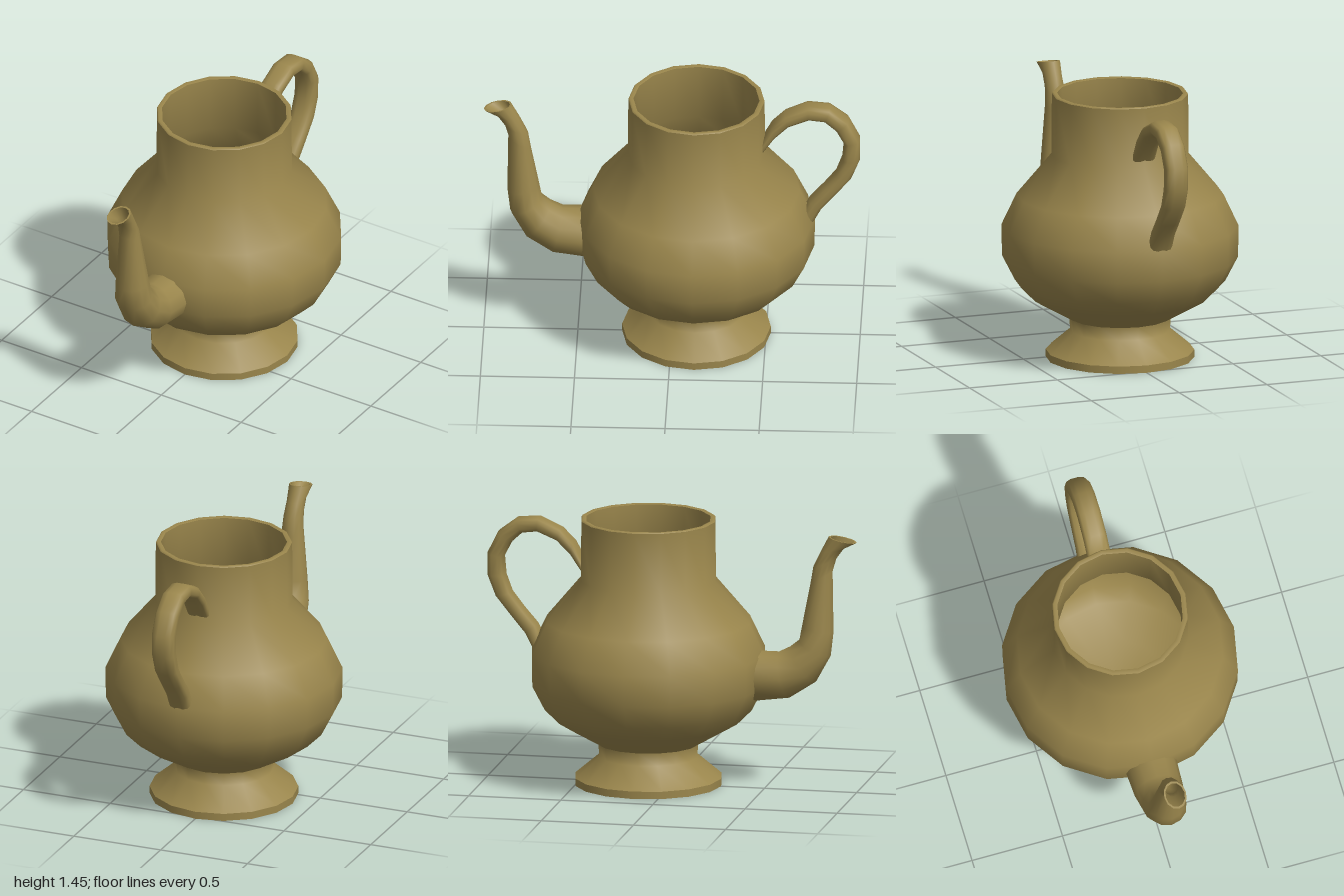
import * as THREE from 'three';

const CZ = -0.13; // axis of the pot body

export function createModel() {
  const brass = new THREE.MeshStandardMaterial({ color: 0x9a864c });
  brass.name = 'antique brass';
  const model = new THREE.Group();
  model.name = 'coffeePot';

  function add(parent, name, geometry) {
    const mesh = new THREE.Mesh(geometry, brass);
    mesh.name = name;
    parent.add(mesh);
    return mesh;
  }

  // Sixteen-sided turned part; profile points are [radius, y]
  function turned(name, profile) {
    const pts = profile.map(([r, y]) => new THREE.Vector2(r, y));
    add(model, name, new THREE.LatheGeometry(pts, 16)).position.z = CZ;
  }

  // Skin over rings [outer z, outer y, inner z, inner y, half width in x]
  function skin(rings, sides, power = 1, offset = 0) {
    const pos = [], index = [];
    const soft = v => Math.sign(v) * Math.abs(v) ** power;
    for (const [z1, y1, z2, y2, w] of rings) {
      for (let j = 0; j < sides; j++) {
        const a = ((j + offset) / sides) * Math.PI * 2;
        const c = soft(Math.cos(a)) / 2, s = soft(Math.sin(a));
        pos.push(s * w, (y1 + y2) / 2 + c * (y1 - y2), (z1 + z2) / 2 + c * (z1 - z2));
      }
    }
    for (let i = 0; i < rings.length - 1; i++) {
      for (let j = 0; j < sides; j++) {
        const k = (j + 1) % sides;
        const a = i * sides + j, b = i * sides + k;
        index.push(a, b, b + sides, a, b + sides, a + sides);
      }
    }
    const g = new THREE.BufferGeometry();
    g.setAttribute('position', new THREE.Float32BufferAttribute(pos, 3));
    g.setIndex(index);
    g.computeVertexNormals();
    return g;
  }

  // The same ring scaled about its centre
  function scaled([z1, y1, z2, y2, w], k) {
    const z = (z1 + z2) / 2, y = (y1 + y2) / 2;
    return [z + (z1 - z) * k, y + (y1 - y) * k, z + (z2 - z) * k, y + (y2 - y) * k, w * k];
  }

  // Foot
  turned('footBase', [[0, 0], [0.395, 0]]);
  turned('footEdge', [[0.395, 0], [0.395, 0.04]]);
  turned('footStem', [[0.395, 0.04], [0.265, 0.15], [0.27, 0.22]]);

  // Body and neck, rim, inside
  turned('body', [
    [0.27, 0.22], [0.48, 0.34], [0.56, 0.42], [0.627, 0.55], [0.63, 0.72],
    [0.55, 0.89], [0.365, 1.11], [0.362, 1.437],
  ]);
  turned('rim', [[0.362, 1.437], [0.355, 1.445], [0.335, 1.44]]);
  turned('inside', [
    [0.335, 1.44], [0.335, 1.13], [0.515, 0.88], [0.585, 0.71], [0.58, 0.57],
    [0.52, 0.44], [0.45, 0.37], [0.26, 0.27], [0, 0.26],
  ]);

  // Spout: thick at the root, narrowing, then flaring into the lip
  const spout = new THREE.Group();
  spout.name = 'spout';
  model.add(spout);
  const lip = [1.0, 1.36, 0.85, 1.39, 0.06];
  const spoutRings = [
    [0.45, 0.475, 0.45, 0.75, 0.14],
    [0.635, 0.5, 0.58, 0.75, 0.132],
    [0.78, 0.595, 0.64, 0.78, 0.12],
    [0.86, 0.74, 0.69, 0.82, 0.105],
    [0.875, 0.87, 0.705, 0.9, 0.09],
    [0.87, 1.2, 0.75, 1.13, 0.058],
    [0.89, 1.27, 0.765, 1.22, 0.053],
    [0.93, 1.325, 0.805, 1.305, 0.05],
    lip,
  ];
  add(spout, 'spoutWall', skin(spoutRings, 12));
  const mouth = scaled(lip, 0.85);
  add(spout, 'spoutLip', skin([lip, mouth], 12));
  const throat = spoutRings.slice(5, 8).reverse().map(r => scaled(r, 0.75));
  add(spout, 'spoutBore', skin([mouth, ...throat, scaled(throat[2], 0)], 12));

  // Handle: flattened loop from the neck back down to the belly
  const handle = new THREE.Group();
  handle.name = 'handle';
  model.add(handle);
  const handleRings = [
    [-0.472, 1.19, -0.472, 1.12],
    [-0.53, 1.3, -0.545, 1.225],
    [-0.6, 1.37, -0.62, 1.3],
    [-0.72, 1.425, -0.73, 1.345],
    [-0.84, 1.415, -0.81, 1.335],
    [-0.94, 1.34, -0.87, 1.28],
    [-1.0, 1.22, -0.912, 1.2],
    [-1.0, 1.1, -0.903, 1.1],
    [-0.955, 0.985, -0.87, 1.01],
    [-0.87, 0.88, -0.8, 0.92],
    [-0.795, 0.79, -0.73, 0.84],
    [-0.748, 0.7, -0.705, 0.79],
  ].map(r => [...r, 0.064]);
  const last = handleRings[handleRings.length - 1];
  add(handle, 'handleLoop', skin(handleRings, 12, 0.75, 0.5));
  add(handle, 'handleUpperEnd', skin([scaled(handleRings[0], 0), handleRings[0]], 12, 0.75, 0.5));
  add(handle, 'handleLowerEnd', skin([last, scaled(last, 0)], 12, 0.75, 0.5));

  return model;
}
